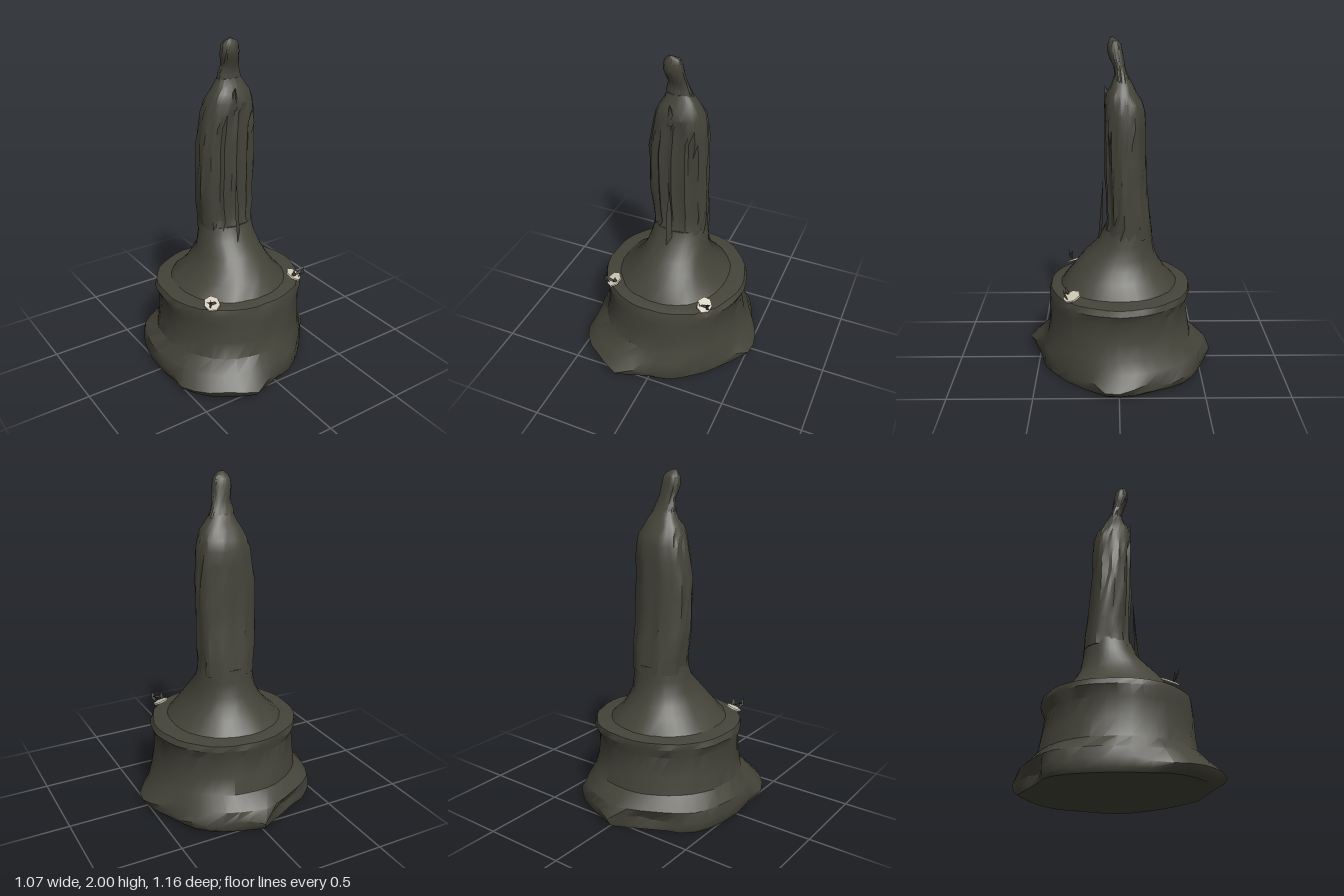
import * as THREE from 'three';
import { toCreasedNormals } from 'three/addons/utils/BufferGeometryUtils.js';

const N = 40;
const stone = new THREE.MeshStandardMaterial({ color: 0x45443a, side: THREE.DoubleSide });
stone.name = 'dark stone';
const pale = new THREE.MeshStandardMaterial({ color: 0xd0cab8, side: THREE.DoubleSide });
pale.name = 'pale stone';

// Repeatable roughness in -1..1
const rough = (i, j) => {
  const s = Math.sin((i % N) * 12.99 + j * 78.23) * 43758.55;
  return (s - Math.floor(s)) * 2 - 1;
};

// Ragged outline of the foot, as x, z corners
const outline = [[0, -0.58], [0.14, -0.52], [0.3, -0.45], [0.4, -0.36], [0.46, -0.18], [0.51, -0.12], [0.54, 0.04],
  [0.52, 0.09], [0.42, 0.2], [0.33, 0.3], [0.24, 0.38], [0.17, 0.45], [0.05, 0.48], [-0.19, 0.58], [-0.27, 0.545],
  [-0.45, 0.42], [-0.54, 0.29], [-0.51, 0.2], [-0.535, 0.12], [-0.53, -0.08], [-0.5, -0.24], [-0.46, -0.33],
  [-0.385, -0.385], [-0.29, -0.4], [-0.18, -0.45]];

// Distance to the outline along angle a (0 = +z, growing toward +x)
function footRadius(a) {
  const dx = Math.sin(a), dz = Math.cos(a);
  for (let k = 0; k < outline.length; k++) {
    const [x1, z1] = outline[k], [x2, z2] = outline[(k + 1) % outline.length];
    const ex = x2 - x1, ez = z2 - z1, det = ex * dz - ez * dx;
    if (Math.abs(det) < 1e-9) continue;
    const r = (ex * z1 - ez * x1) / det, t = (dx * z1 - dz * x1) / det;
    if (r > 0 && t >= -1e-6 && t <= 1 + 1e-6) return r;
  }
  return 0.5;
}

// Skin a stack of rings with both ends closed
function loft(rings, crease) {
  const pos = [], idx = [];
  rings.forEach(r => r.forEach(p => pos.push(...p)));
  for (let j = 0; j < rings.length - 1; j++) for (let i = 0; i < N; i++) {
    const a = j * N + i, b = j * N + (i + 1) % N;
    idx.push(a, b, b + N, a, b + N, a + N);
  }
  [0, rings.length - 1].forEach((j, top) => {
    const c = pos.length / 3, m = [0, 0, 0];
    rings[j].forEach(p => p.forEach((v, k) => { m[k] += v / N; }));
    pos.push(...m);
    for (let i = 0; i < N; i++) {
      const a = j * N + i, b = j * N + (i + 1) % N;
      top ? idx.push(a, b, c) : idx.push(b, a, c);
    }
  });
  const g = new THREE.BufferGeometry();
  g.setAttribute('position', new THREE.Float32BufferAttribute(pos, 3));
  g.setIndex(idx);
  return toCreasedNormals(g, crease);
}

// Ring fitted to the extents [y, xmin, xmax, zmin, zmax]; power > 2 is boxier
function ring([y, x0, x1, z0, z1], j, power, bump, shape) {
  return Array.from({ length: N }, (_, i) => {
    const a = i / N * Math.PI * 2, s = Math.sin(a), c = Math.cos(a);
    const k = Math.pow(Math.abs(s) ** power + Math.abs(c) ** power, -1 / power);
    const f = k * (1 + bump * rough(i, j)) * (shape ? shape(a, y) : 1);
    return [(x0 + x1) / 2 + (x1 - x0) / 2 * s * f, y, (z0 + z1) / 2 + (z1 - z0) / 2 * c * f];
  });
}

// Cloak: arched hollow down the front, with narrow vertical folds inside
function folds(a, y) {
  const d = Math.abs(Math.atan2(Math.sin(a), Math.cos(a)));
  const arch = y > 0.85 && y < 1.62 ? 0.85 * Math.sqrt(Math.min(1, (1.62 - y) / 0.2)) : 0;
  if (d < arch) return 0.9 + 0.05 * Math.cos(a * 14);
  return 1 + (y > 0.8 && y < 1.6 ? 0.018 * Math.cos(a * 9) : 0);
}

function add(group, name, geometry, material = stone) {
  const m = new THREE.Mesh(geometry, material);
  m.name = name;
  group.add(m);
  return m;
}

// Thin leaf-like triangles joined in a fan
function shard(points) {
  const g = new THREE.BufferGeometry().setFromPoints(points.map(p => new THREE.Vector3(...p)));
  const idx = [];
  for (let i = 1; i < points.length - 1; i++) idx.push(0, i, i + 1);
  g.setIndex(idx);
  g.computeVertexNormals();
  return g;
}

export function createModel() {
  const group = new THREE.Group();
  group.name = 'statue';

  // Pedestal: ragged foot blending into a waisted drum with a lip; last value is the foot share
  const pedestal = [
    [0, -0.5, 0.42, -0.5, 0.46, 0.6], [0.02, -0.52, 0.45, -0.52, 0.48, 0.8], [0.06, -0.5, 0.5, -0.5, 0.5, 1],
    [0.13, -0.52, 0.44, -0.53, 0.48, 0.35], [0.2, -0.46, 0.425, -0.44, 0.44, 0.06], [0.3, -0.45, 0.41, -0.425, 0.43, 0],
    [0.42, -0.445, 0.41, -0.41, 0.425, 0], [0.48, -0.465, 0.435, -0.435, 0.425, 0],
    [0.515, -0.455, 0.42, -0.43, 0.415, 0], [0.525, -0.41, 0.37, -0.385, 0.38, 0],
  ].map((r, j) => ring(r, j, 2.1, 0.012).map(([x, y, z], i) => {
    const a = i / N * Math.PI * 2, f = footRadius(a), w = r[5];
    const dip = j === 2 ? 0.02 * rough(i, 5) : 0;
    return [x + (Math.sin(a) * f - x) * w, y + dip, z + (Math.cos(a) * f - z) * w];
  }));
  add(group, 'pedestal', loft(pedestal, 0.6));

  // Mound rising from the pedestal into the robe
  const mound = [
    [0.5, -0.39, 0.35, -0.37, 0.37], [0.54, -0.345, 0.305, -0.34, 0.34], [0.6, -0.28, 0.25, -0.285, 0.3],
    [0.66, -0.235, 0.215, -0.25, 0.25], [0.72, -0.2, 0.185, -0.22, 0.2], [0.8, -0.18, 0.17, -0.205, 0.12],
    [0.88, -0.165, 0.16, -0.2, 0.085],
  ].map((r, j) => ring(r, j + 20, 2.1, 0.014));
  add(group, 'mound', loft(mound, 0.6));

  // Robed figure
  const robe = [
    [0.84, -0.165, 0.162, -0.2, 0.09], [0.92, -0.168, 0.16, -0.195, 0.08], [1, -0.18, 0.165, -0.185, 0.078],
    [1.1, -0.19, 0.165, -0.172, 0.082], [1.2, -0.188, 0.165, -0.165, 0.088], [1.3, -0.188, 0.165, -0.16, 0.088],
    [1.4, -0.185, 0.165, -0.158, 0.09], [1.5, -0.168, 0.163, -0.156, 0.09], [1.58, -0.152, 0.157, -0.153, 0.085],
    [1.64, -0.138, 0.147, -0.135, 0.08], [1.69, -0.115, 0.125, -0.105, 0.068], [1.73, -0.088, 0.1, -0.085, 0.045],
    [1.77, -0.07, 0.068, -0.062, 0.03],
  ].map((r, j) => ring(r, j + 40, 2.4, 0.03, folds));
  add(group, 'robe', loft(robe, 0.5));

  // Small veiled head, leaning forward
  const head = [
    [1.74, -0.075, 0.085, -0.075, 0.035], [1.8, -0.07, 0.062, -0.048, 0.022], [1.84, -0.06, 0.05, -0.036, 0.03],
    [1.88, -0.068, 0.043, -0.03, 0.05], [1.92, -0.076, 0.036, -0.024, 0.063], [1.96, -0.072, 0.03, -0.015, 0.062],
    [1.98, -0.06, 0.022, 0, 0.055], [2, -0.04, -0.02, 0.032, 0.048],
  ].map((r, j) => ring(r, j + 60, 2.2, 0.05));
  add(group, 'head', loft(head, 0.5));

  // Raised hands at the chest
  const hands = add(group, 'hands', new THREE.ConeGeometry(0.035, 0.13, 6).toNonIndexed());
  hands.position.set(-0.02, 1.67, 0.065);
  hands.rotation.x = 0.25;

  // Loose fold hanging before the robe
  add(group, 'hangingFold', shard([[-0.02, 1.18, 0.092], [-0.035, 1, 0.1], [-0.03, 0.78, 0.125], [0, 0.85, 0.1], [-0.005, 1.02, 0.094]]));

  // Broken ornaments on the front corners, each with a pale patch
  for (const [side, x, z] of [['right', -0.315, 0.27], ['left', 0.285, 0.265]]) {
    const s = Math.sign(x), corner = new THREE.Group();
    corner.name = side + 'Ornament';
    corner.position.set(x, 0.5, z);
    const patch = add(corner, side + 'Patch', new THREE.CylinderGeometry(0.046, 0.048, 0.009, 7), pale);
    patch.scale.z = 1.15;
    patch.position.set(0, 0.045, 0.01);
    patch.rotation.set(0.35, 0, -s * 0.3);
    add(corner, side + 'Stem', shard([[0.02 * s, 0.03, 0.03], [0.045 * s, 0.06, 0.05], [0.04 * s, 0.11, 0.06], [0.025 * s, 0.07, 0.045]]));
    add(corner, side + 'Leaf', shard([[-0.02 * s, 0.05, 0.03], [0.03 * s, 0.065, 0.05], [0.05 * s, 0.08, 0.03], [0, 0.075, 0.04]]));
    add(corner, side + 'Tip', shard([[-0.03 * s, 0.04, 0.02], [-0.01 * s, 0.06, 0.05], [-0.025 * s, 0.1, 0.045]]));
    group.add(corner);
  }
  return group;
}
